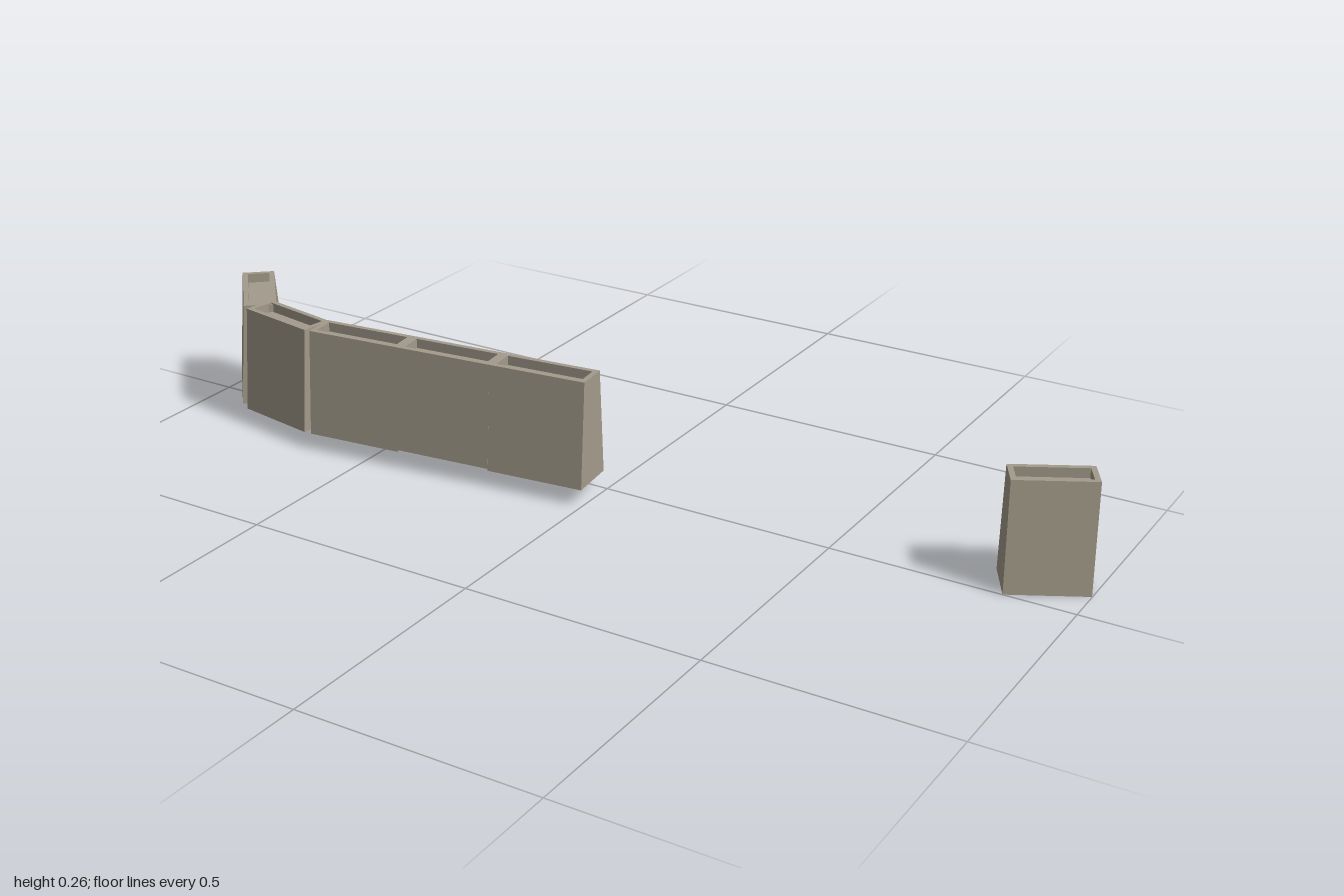
import * as THREE from 'three';

const HEIGHT = 0.226, BOTTOM_DEPTH = 0.103, TOP_DEPTH = 0.069, RIM = 0.011, RECESS = 0.02;

// Wall block: wide foot, narrow crown, and a shallow rectangular recess in the top
function blockGeometry(length, height) {
  const ring = (l, d, y) => [[-l / 2, y, d / 2], [l / 2, y, d / 2], [l / 2, y, -d / 2], [-l / 2, y, -d / 2]];
  const rings = [
    ring(length, BOTTOM_DEPTH, 0),
    ring(length, TOP_DEPTH, height),
    ring(length - 2 * RIM, TOP_DEPTH - 2 * RIM, height),
    ring(length - 2 * RIM, TOP_DEPTH - 2 * RIM, height - RECESS),
  ];
  const positions = [];
  const quad = (a, b, c, d) => positions.push(...a, ...b, ...c, ...a, ...c, ...d);
  for (let r = 0; r < 3; r++) {
    for (let i = 0; i < 4; i++) {
      const j = (i + 1) % 4;
      quad(rings[r][i], rings[r][j], rings[r + 1][j], rings[r + 1][i]);
    }
  }
  quad(...rings[3]);
  quad(...[...rings[0]].reverse());
  const geometry = new THREE.BufferGeometry();
  geometry.setAttribute('position', new THREE.Float32BufferAttribute(positions, 3));
  geometry.computeVertexNormals();
  return geometry;
}

export function createModel() {
  const model = new THREE.Group();
  model.name = 'wallBlocks';
  const stone = new THREE.MeshStandardMaterial({ color: 0xa39b8b });
  stone.name = 'weathered stone';

  function addBlock(name, length, x, y, z, degrees, height = HEIGHT) {
    const block = new THREE.Mesh(blockGeometry(length, height), stone);
    block.name = name;
    block.position.set(x, y, z);
    block.rotation.y = THREE.MathUtils.degToRad(degrees);
    model.add(block);
  }

  // Straight run of three blocks, the middle one sitting slightly higher
  const run = 0.2113, angle = THREE.MathUtils.degToRad(6);
  for (let i = 0; i < 3; i++) {
    const s = run * (i + 0.5), lift = i === 1 ? 0.004 : 0;
    addBlock('straightWallBlock' + (i + 1), run,
      -0.005 - s * Math.cos(angle), 0.037 + lift, 0.0485 + s * Math.sin(angle), 6, HEIGHT - lift);
  }

  // Bend, end of the wall, and the separate block on the far side
  addBlock('bendBlock', 0.185, -0.732, 0.035, 0.0965, -10);
  addBlock('endBlock', 0.208, -0.891, 0.033, 0, -49);
  addBlock('detachedBlock', 0.1635, 0.903, 0, -0.0845, 28.5);
  return model;
}
